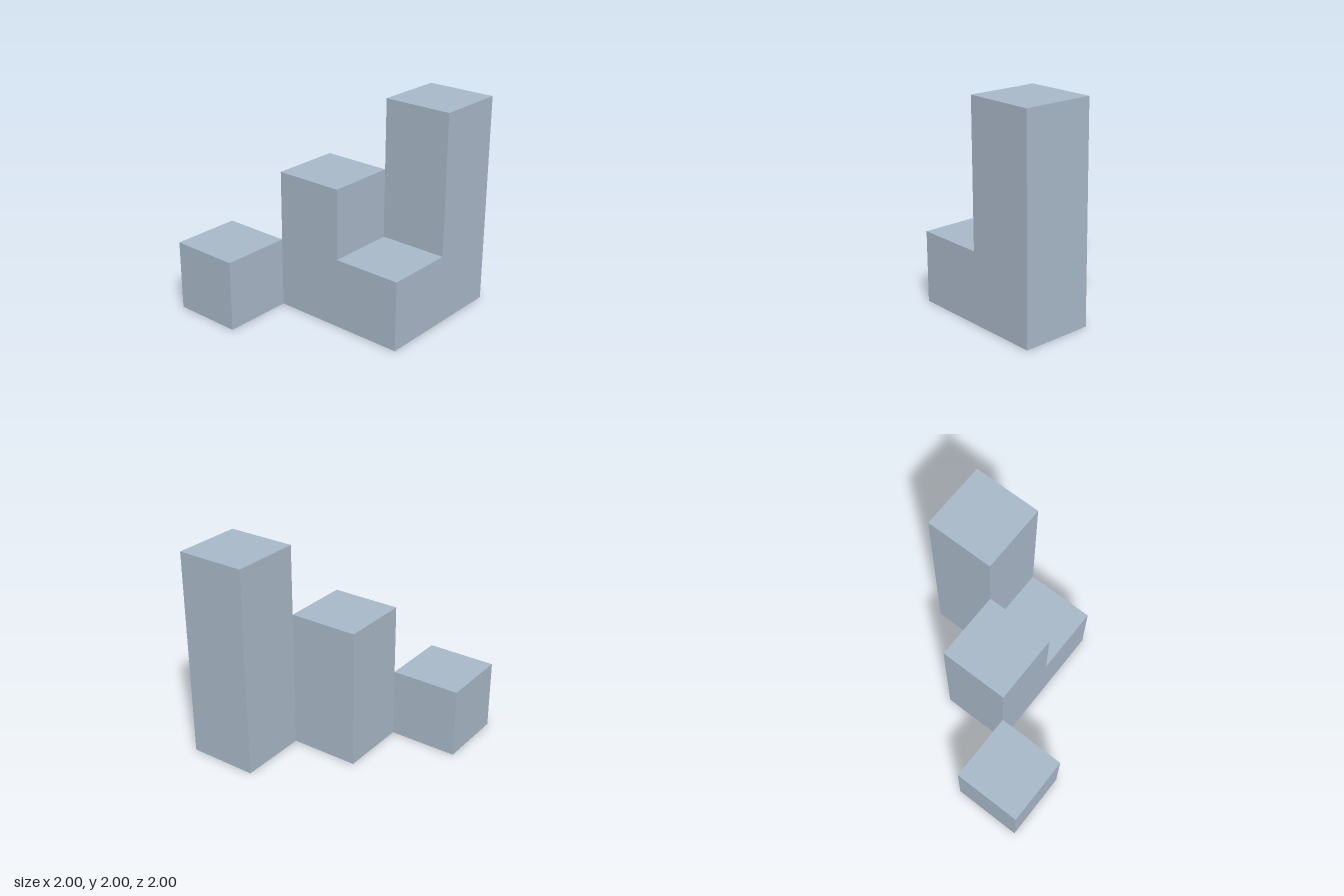
import * as THREE from 'three';
import { mergeGeometries } from 'three/addons/utils/BufferGeometryUtils.js';

const S = 2 / 3; // edge of one cube

// columns of stacked cubes on a 3 x 3 plan: grid x, grid z, height in cubes
const columns = [
  { name: 'tallFrontColumn', x: 1, z: 1, h: 3 },
  { name: 'lowFrontBlock', x: 0, z: 1, h: 1 },
  { name: 'middleColumn', x: 0, z: 0, h: 2 },
  { name: 'lowBackBlock', x: -1, z: -1, h: 1 },
];

const heightAt = (x, z) => columns.find((c) => c.x === x && c.z === z)?.h ?? 0;

// outer faces of one column, leaving out what its neighbours cover
function columnGeometry({ x, z, h }) {
  const faces = [];
  for (let i = 0; i < 4; i++) {
    const angle = (i * Math.PI) / 2;
    const dx = Math.round(Math.sin(angle));
    const dz = Math.round(Math.cos(angle));
    const base = heightAt(x + dx, z + dz);
    if (base >= h) continue;
    faces.push(new THREE.PlaneGeometry(S, (h - base) * S)
      .rotateY(angle)
      .translate((x + dx / 2) * S, ((h + base) / 2) * S, (z + dz / 2) * S));
  }
  // top and underside
  faces.push(new THREE.PlaneGeometry(S, S).rotateX(-Math.PI / 2).translate(x * S, h * S, z * S));
  faces.push(new THREE.PlaneGeometry(S, S).rotateX(Math.PI / 2).translate(x * S, 0, z * S));
  return mergeGeometries(faces);
}

export function createModel() {
  const group = new THREE.Group();
  group.name = 'steppedBlocks';
  const blueGrey = new THREE.MeshStandardMaterial({ color: 0xa9b8c8 });
  blueGrey.name = 'blueGrey';

  for (const column of columns) {
    const mesh = new THREE.Mesh(columnGeometry(column), blueGrey);
    mesh.name = column.name;
    group.add(mesh);
  }
  return group;
}
